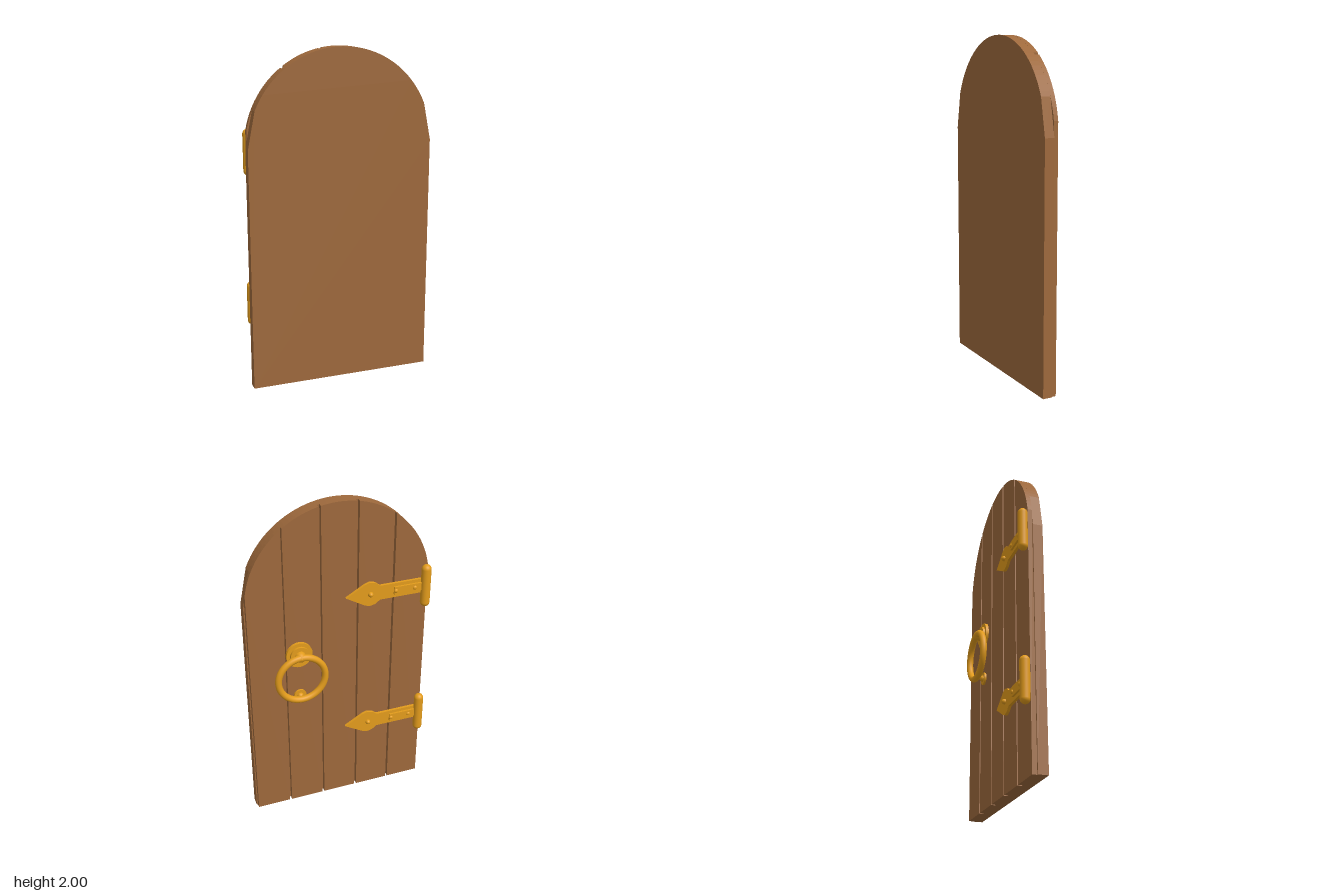
import * as THREE from 'three';

const wood = new THREE.MeshStandardMaterial({ color: 0x9e693c });
const brass = new THREE.MeshStandardMaterial({ color: 0xe39c1c });
const R = 0.557, SPRING = 1.443, BACK = -0.005, SEAM = 0.022;

function add(parent, name, geometry, material, x = 0, y = 0, z = 0) {
  const mesh = new THREE.Mesh(geometry, material);
  mesh.name = name;
  mesh.position.set(x, y, z);
  parent.add(mesh);
  return mesh;
}

// Flat outline pushed along +z
function slab(points, depth) {
  const shape = new THREE.Shape(points.map(([x, y]) => new THREE.Vector2(x, y)));
  return new THREE.ExtrudeGeometry(shape, { depth, bevelEnabled: false });
}

// Turned fitting whose axis points out of the back of the door; profile is [radius, height]
function turned(profile, segments = 32) {
  const g = new THREE.LatheGeometry(profile.map(([r, h]) => new THREE.Vector2(r, h)), segments);
  return g.rotateX(-Math.PI / 2);
}

function disc(radius, height) {
  return new THREE.CylinderGeometry(radius, radius, height, 32)
    .translate(0, height / 2, 0).rotateX(-Math.PI / 2);
}

function dome(radius, height) {
  return new THREE.SphereGeometry(radius, 16, 8, 0, Math.PI * 2, 0, Math.PI / 2)
    .scale(1, height / radius, 1).rotateX(-Math.PI / 2);
}

function archBoard() {
  const pts = [[-R, 0], [R, 0], [R, SPRING]];
  const start = 0.4, n = 40;
  for (let i = 0; i <= n; i++) {
    const a = start + (Math.PI - 2 * start) * i / n;
    pts.push([R * Math.cos(a), SPRING + R * Math.sin(a)]);
  }
  pts.push([-R, SPRING]);
  return slab(pts, 0.08 - SEAM);
}

// Plank with its top cut along the arch
function plank(x0, x1) {
  const pts = [[x0, 0], [x1, 0]];
  const a0 = Math.acos(x1 / R), a1 = Math.acos(x0 / R), n = 12;
  for (let i = 0; i <= n; i++) {
    const a = a0 + (a1 - a0) * i / n;
    pts.push([R * Math.cos(a), SPRING + R * Math.sin(a)]);
  }
  return slab(pts, SEAM - BACK);
}

function hinge(y) {
  const g = new THREE.Group();
  g.name = 'hinge';
  g.position.y = y;
  add(g, 'hingeBarrel', new THREE.CapsuleGeometry(0.029, 0.212, 8, 24), brass, -0.53, 0, -0.029);

  // Spear-shaped strap
  const half = [[-0.52, 0.045], [-0.245, 0.045], [-0.215, 0.068], [-0.18, 0.076], [-0.15, 0.066]];
  const lower = half.map(([x, h]) => [x, -h]);
  add(g, 'hingeStrap', slab([...lower, [-0.035, 0], ...half.reverse()], 0.017), brass, 0, 0, -0.022);

  // Raised plate and rivets
  add(g, 'hingePlate', new THREE.BoxGeometry(0.19, 0.05, 0.012), brass, -0.425, 0, -0.028);
  for (const x of [-0.46, -0.34]) add(g, 'rivet', dome(0.013, 0.009), brass, x, 0, -0.033);
  add(g, 'rivet', dome(0.016, 0.02), brass, -0.185, 0, -0.022);
  return g;
}

function knocker() {
  const g = new THREE.Group();
  g.name = 'knocker';
  g.position.x = 0.253;
  // Stepped rosette with the boss that holds the ring
  add(g, 'rosetteBase', disc(0.08, 0.018), brass, 0, 1.097, BACK);
  add(g, 'rosetteStep', disc(0.058, 0.014), brass, 0, 1.097, -0.022);
  const boss = [[0.033, 0], [0.031, 0.014], [0.025, 0.03], [0.014, 0.041], [0, 0.045]];
  add(g, 'ringBoss', turned(boss), brass, 0, 1.097, -0.034);
  add(g, 'pullRing', new THREE.TorusGeometry(0.144, 0.02, 16, 64), brass, 0, 0.955, -0.058);
  // Strike plate under the ring
  add(g, 'strikePlate', disc(0.038, 0.012), brass, 0, 0.81, BACK);
  add(g, 'strikeKnob', dome(0.02, 0.02), brass, 0, 0.81, -0.016);
  return g;
}

export function createModel() {
  const door = new THREE.Group();
  door.name = 'archedDoor';
  add(door, 'archBoard', archBoard(), wood, 0, 0, SEAM);

  // Five planks with narrow gaps
  const width = 0.208, pitch = 0.2225;
  for (let i = -2; i <= 2; i++) {
    const c = i * pitch + 0.001;
    add(door, 'plank', plank(c - width / 2, c + width / 2), wood, 0, 0, BACK);
  }

  for (const y of [1.415, 0.505]) door.add(hinge(y));
  door.add(knocker());
  return door;
}
